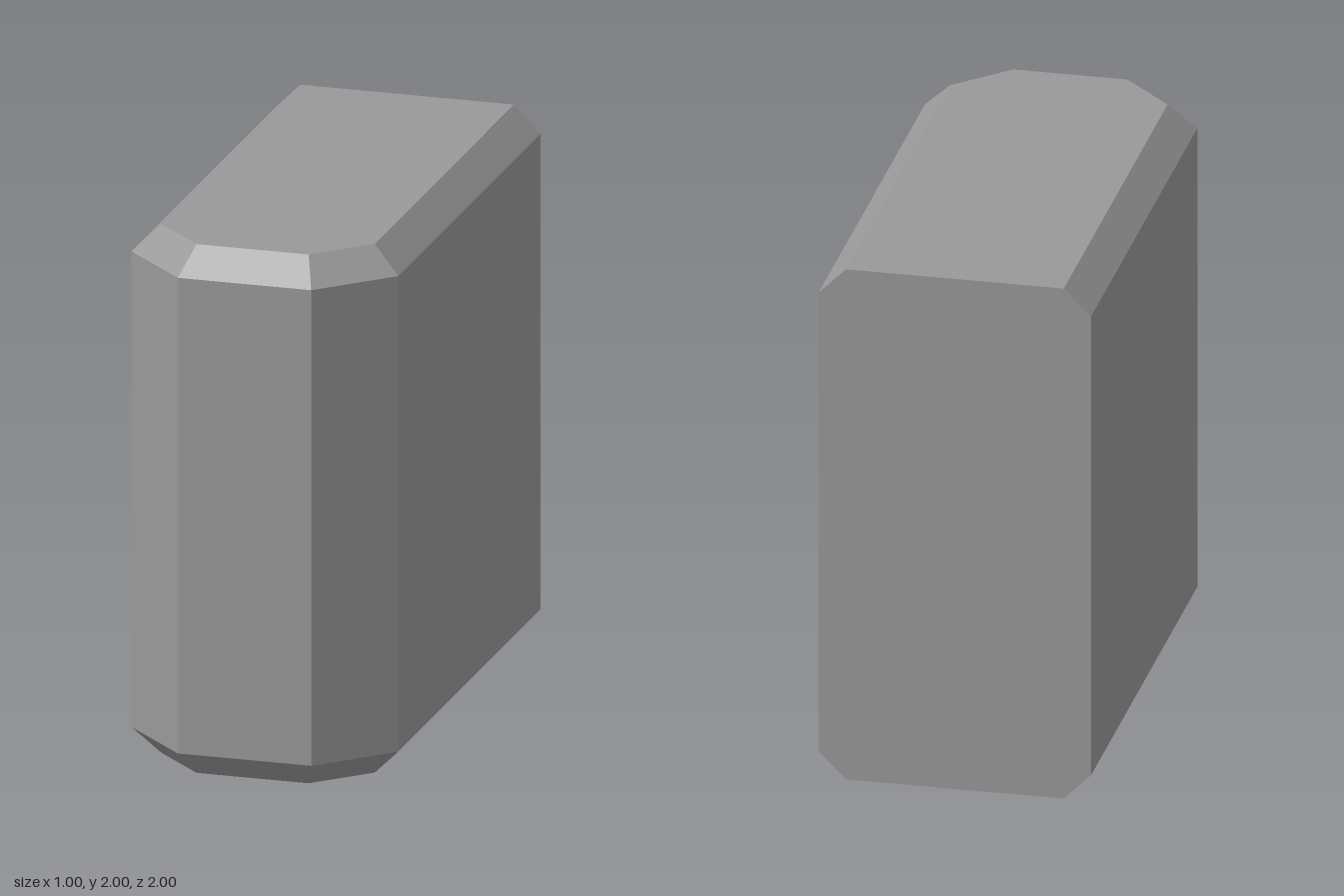
import * as THREE from 'three';

const FLOOR = 0.06; // height of the recessed underside panel

// Plan outline: square at the back, cut corners at the front
function ring(y, back, halfWidth, sideZ, noseHalf, noseZ) {
  return [
    [halfWidth, y, back], [halfWidth, y, sideZ], [noseHalf, y, noseZ],
    [-noseHalf, y, noseZ], [-halfWidth, y, sideZ], [-halfWidth, y, back],
  ];
}

// Joins consecutive rings with flat quads and closes both ends
function loft(rings) {
  const pos = [];
  const tri = (a, b, c) => pos.push(...a, ...b, ...c);
  const n = rings[0].length;
  for (let r = 0; r < rings.length - 1; r++) {
    const a = rings[r], b = rings[r + 1];
    for (let i = 0; i < n; i++) {
      const j = (i + 1) % n;
      tri(a[i], b[i], b[j]);
      tri(a[i], b[j], a[j]);
    }
  }
  const first = rings[0], last = rings[rings.length - 1];
  for (let i = 1; i < n - 1; i++) {
    tri(first[0], first[i], first[i + 1]);
    tri(last[0], last[i + 1], last[i]);
  }
  const geo = new THREE.BufferGeometry();
  geo.setAttribute('position', new THREE.Float32BufferAttribute(pos, 3));
  geo.computeVertexNormals();
  return geo;
}

export function createModel() {
  const model = new THREE.Group();
  const grey = new THREE.MeshStandardMaterial({ color: 0x999999 });
  grey.name = 'casing grey';

  const add = (name, geo, x, y, z) => {
    const mesh = new THREE.Mesh(geo, grey);
    mesh.name = name;
    mesh.position.set(x, y, z);
    model.add(mesh);
  };
  // Underside fittings hang from the recessed panel down to the given height
  const box = (name, w, d, bottom, x, z) =>
    add(name, new THREE.BoxGeometry(w, FLOOR - bottom, d), x, (FLOOR + bottom) / 2, z);
  const disc = (name, r, bottom, x, z) =>
    add(name, new THREE.CylinderGeometry(r, r, FLOOR - bottom, 24), x, (FLOOR + bottom) / 2, z);

  // Casing with bevelled top and bottom and a recessed underside
  add('casing', loft([
    ring(FLOOR, -0.9, 0.35, 0.69, 0.18, 0.85),
    ring(0.01, -0.9, 0.35, 0.69, 0.18, 0.85),
    ring(0.01, -1, 0.4, 0.71, 0.21, 0.9),
    ring(0.11, -1, 0.5, 0.75, 0.25, 1),
    ring(1.9, -1, 0.5, 0.75, 0.25, 1),
    ring(2, -1, 0.4, 0.71, 0.21, 0.9),
  ]), 0, 0, 0);

  // Four large round feet
  for (const x of [-0.175, 0.175]) {
    for (const z of [-0.045, -0.22]) disc('roundFoot', 0.075, 0, x, z);
  }

  // Row of small round knobs and the long plates ahead of them
  for (const x of [-0.15, 0, 0.15]) {
    disc('smallKnob', 0.05, 0.04, x, 0.12);
    box('longPlate', 0.09, 0.4, 0.05, x, 0.42);
  }

  // Raised ribs near the back
  for (let i = 0; i < 4; i++) box('rib', 0.4, 0.04, 0.035, 0, -0.72 + i * 0.105);

  // Small connector between the feet
  box('connectorBase', 0.18, 0.1, 0.05, 0, -0.2);
  box('connectorPin', 0.08, 0.04, 0.035, 0, -0.2);

  return model;
}
